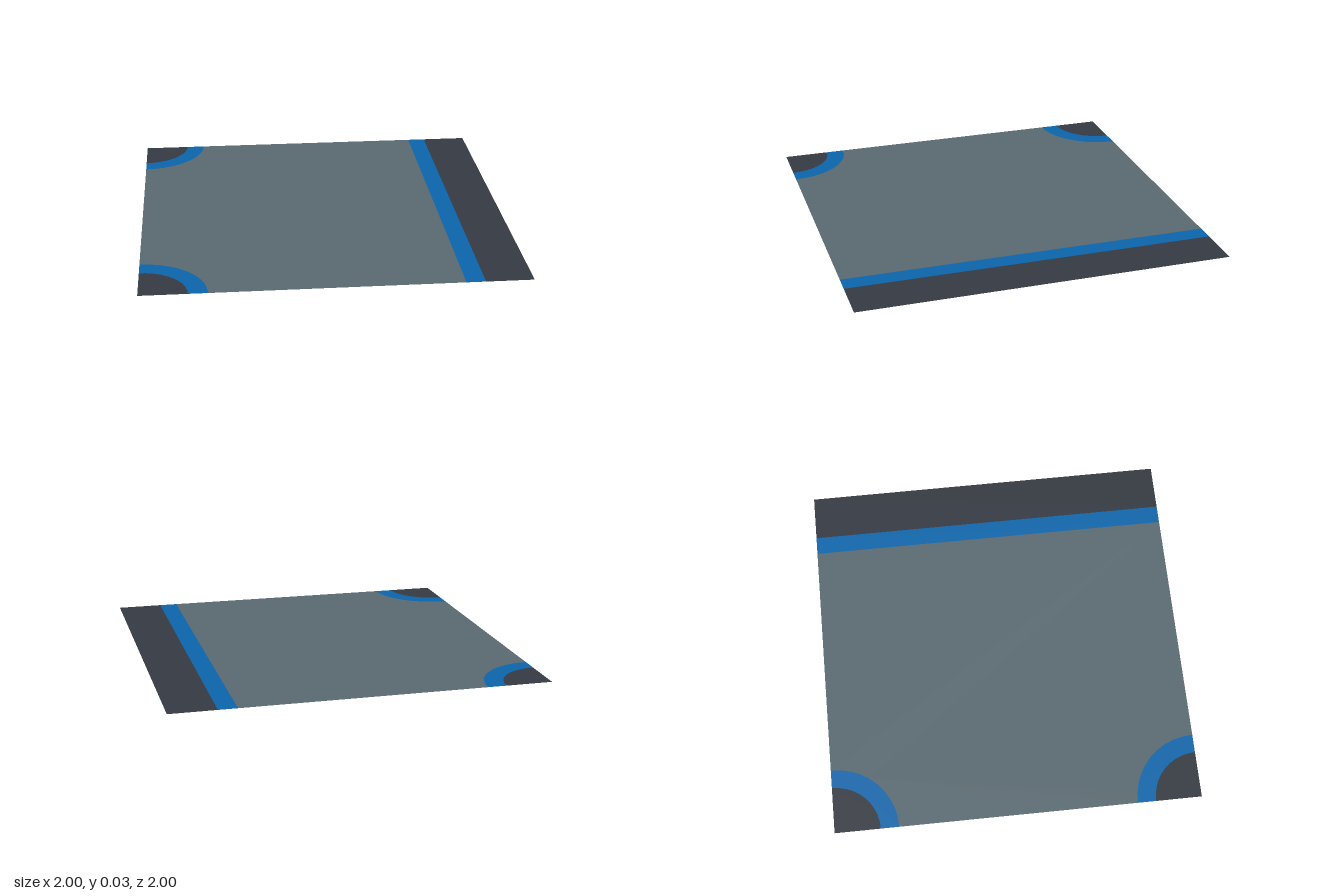
import * as THREE from 'three';

const TOP = 0.032;      // height of the tile surface
const PANEL = 0.011;    // height of the panel's underside

const mat = (name, color, side = THREE.FrontSide) =>
  Object.assign(new THREE.MeshStandardMaterial({ color, side }), { name });

// Points on an arc, angles in radians
function arc(cx, cy, r, a0, a1, n) {
  return Array.from({ length: n + 1 }, (_, i) => {
    const a = a0 + (a1 - a0) * i / n;
    return new THREE.Vector2(cx + r * Math.cos(a), cy + r * Math.sin(a));
  });
}

// Panel outline in x,z: rounded corners on +x, concave cut-outs on -x
function panelOutline(inset) {
  const E = 0.945, X = 0.46, r = 0.08, R = 0.52, H = Math.PI / 2;
  const near = 1 - E + r;                              // fillet centre, from the tile edge
  const far = Math.sqrt((R + r) ** 2 - near ** 2);     // fillet centre, along the tile edge
  const t = Math.atan2(near, far);
  const half = [
    ...arc(X - r, -E + r, r - inset, 0, -H, 6),
    ...arc(-1 + far, -1 + near, r - inset, -H, t - Math.PI, 6),
    ...arc(-1, -1, R + inset, t, H - t, 12).slice(1, -1),
    ...arc(-1 + near, -1 + far, r - inset, -H - t, -Math.PI, 6),
  ];
  const mirrored = half.map(p => new THREE.Vector2(p.x, -p.y)).reverse();
  return [...half, ...mirrored];
}

// Sloping band between the outer and inner outlines
function bevelGeometry(outer, inner) {
  const n = outer.length, pos = [], idx = [];
  outer.forEach(p => pos.push(p.x, TOP - 0.001, p.y));
  inner.forEach(p => pos.push(p.x, PANEL, p.y));
  for (let k = 0; k < n; k++) {
    const j = (k + 1) % n;
    idx.push(k, n + k, n + j, k, n + j, j);
  }
  const g = new THREE.BufferGeometry();
  g.setAttribute('position', new THREE.Float32BufferAttribute(pos, 3));
  g.setIndex(idx);
  g.computeVertexNormals();
  return g;
}

export function createModel() {
  const model = new THREE.Group();
  model.name = 'floorTile';
  const grey = mat('slateGrey', 0x5a6a71, THREE.DoubleSide);
  const blue = mat('blue', 0x0c66ab, THREE.DoubleSide);
  const dark = mat('charcoal', 0x353a42, THREE.DoubleSide);
  const yellow = mat('yellow', 0xe8ae08, THREE.DoubleSide);

  const add = (name, geometry, material) => {
    const mesh = new THREE.Mesh(geometry, material);
    mesh.name = name;
    model.add(mesh);
    return mesh;
  };
  // Flat sheet on the tile surface
  const sheet = (name, points, material) =>
    add(name, new THREE.ShapeGeometry(new THREE.Shape(points)).rotateX(-Math.PI / 2).translate(0, TOP, 0), material);
  const rect = (x0, x1) => [[x0, -1], [x1, -1], [x1, 1], [x0, 1]].map(p => new THREE.Vector2(...p));

  // Tile surface: main field and the two long bands
  const Q = Math.PI / 2;
  sheet('mainField', [
    ...arc(-1, -1, 0.35, Q, 0, 10),
    new THREE.Vector2(0.65, -1), new THREE.Vector2(0.65, 1),
    ...arc(-1, 1, 0.35, 0, -Q, 10),
  ], grey);
  sheet('blueBand', rect(0.65, 0.75), blue);
  sheet('darkBand', rect(0.75, 1), dark);

  // Quarter-round corner markings
  for (const s of [-1, 1]) {
    const a = -s * Q;
    sheet('cornerRing', [...arc(-1, s, 0.35, 0, a, 10), ...arc(-1, s, 0.25, a, 0, 10)], blue);
    sheet('cornerPatch', [new THREE.Vector2(-1, s), ...arc(-1, s, 0.25, 0, a, 10)], dark);
  }

  // Raised panel under the tile with its bevelled rim
  const inner = panelOutline(0.03);
  add('panelRim', bevelGeometry(panelOutline(0), inner), yellow);
  add('underPanel', new THREE.ShapeGeometry(new THREE.Shape(inner)).rotateX(Q).translate(0, PANEL, 0), grey);

  // Bolts around the panel
  const boltGeometry = new THREE.CylinderGeometry(0.053, 0.036, PANEL, 8).toNonIndexed();
  boltGeometry.computeVertexNormals();
  for (const [x, z] of [[0.295, 0.78], [-0.305, 0.78], [-0.78, 0.295]])
    for (const s of [-1, 1])
      add('bolt', boltGeometry, blue).position.set(x, PANEL / 2, s * z);

  return model;
}
